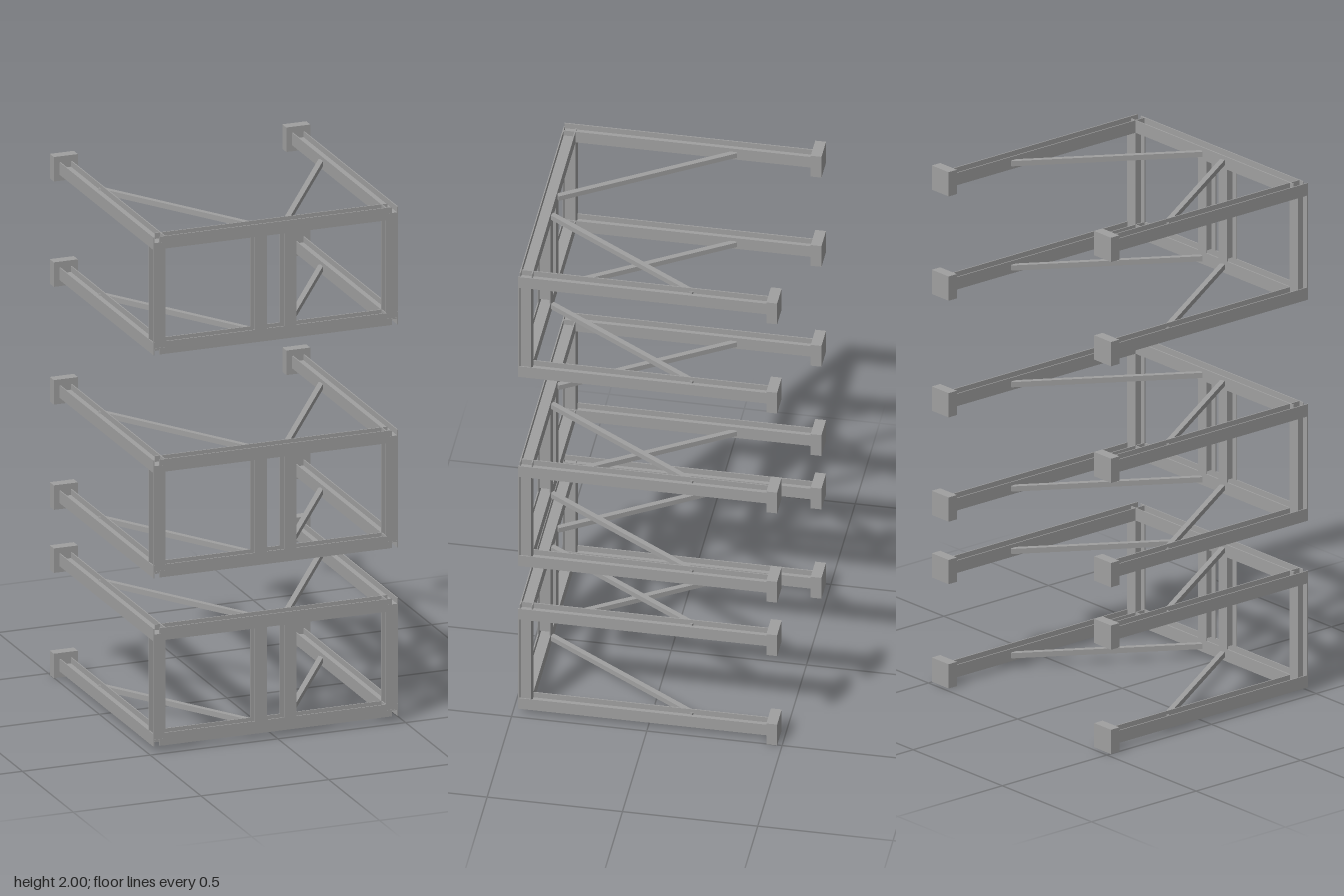
import * as THREE from 'three';

const SIZE = 0.048;   // beam section width
const WALL = 0.004;   // plate thickness
const C = 0.455;      // beam centreline offset in x and z
const RISE = 0.404;   // distance between lower and upper beams of a frame

const steel = new THREE.MeshStandardMaterial({ color: 0xa0a0a0 });
steel.name = 'grey steel';

// H section: flanges at +x and -x joined by a flat web, running along z
function beamGeometry(length) {
  const h = SIZE / 2, f = h - WALL, w = WALL / 2;
  const shape = new THREE.Shape([
    [-h, -h], [-f, -h], [-f, -w], [f, -w], [f, -h], [h, -h],
    [h, h], [f, h], [f, w], [-f, w], [-f, h], [-h, h],
  ].map(([x, y]) => new THREE.Vector2(x, y)));
  const g = new THREE.ExtrudeGeometry(shape, { depth: length, bevelEnabled: false });
  g.translate(0, 0, -length / 2);
  return g;
}

function add(group, name, geometry, x, y, z) {
  const mesh = new THREE.Mesh(geometry, steel);
  mesh.name = name;
  mesh.position.set(x, y, z);
  group.add(mesh);
  return mesh;
}

export function createModel() {
  const model = new THREE.Group();
  model.name = 'bracketFrames';

  const zBack = -0.445, zFront = 0.48;
  const sideBeam = beamGeometry(zFront - zBack);
  const frontBeam = beamGeometry(2 * C).rotateY(Math.PI / 2);
  const upright = (len) => beamGeometry(len).rotateX(-Math.PI / 2).rotateY(-Math.PI / 2);
  const cornerPost = upright(RISE);
  const middlePost = upright(RISE - SIZE);
  const pad = new THREE.BoxGeometry(0.094, 0.094, 0.04);

  // diagonal brace end points (x, z)
  const inner = [0.058, 0.43], outer = [0.433, -0.162];
  const dx = outer[0] - inner[0], dz = outer[1] - inner[1];
  const brace = new THREE.BoxGeometry(0.02, 0.02, Math.hypot(dx, dz));

  [0.047, 0.693, 1.549].forEach((base, i) => {
    const frame = new THREE.Group();
    frame.name = 'frame' + (i + 1);
    frame.position.y = base;

    // horizontal levels: front beam, side arms, wall pads and braces
    for (const y of [0, RISE]) {
      add(frame, 'frontBeam', frontBeam, 0, y, C);
      for (const s of [-1, 1]) {
        add(frame, 'sideArm', sideBeam, s * C, y, (zFront + zBack) / 2);
        add(frame, 'wallPad', pad, s * C, y, -0.462);
        const b = add(frame, 'diagonalBrace', brace,
          s * (inner[0] + outer[0]) / 2, y, (inner[1] + outer[1]) / 2);
        b.rotation.y = Math.atan2(s * dx, dz);
      }
    }

    // uprights of the front panel
    for (const s of [-1, 1]) {
      add(frame, 'cornerPost', cornerPost, s * C, RISE / 2, C);
      add(frame, 'middlePost', middlePost, s * 0.058, RISE / 2, C);
    }
    model.add(frame);
  });
  return model;
}
